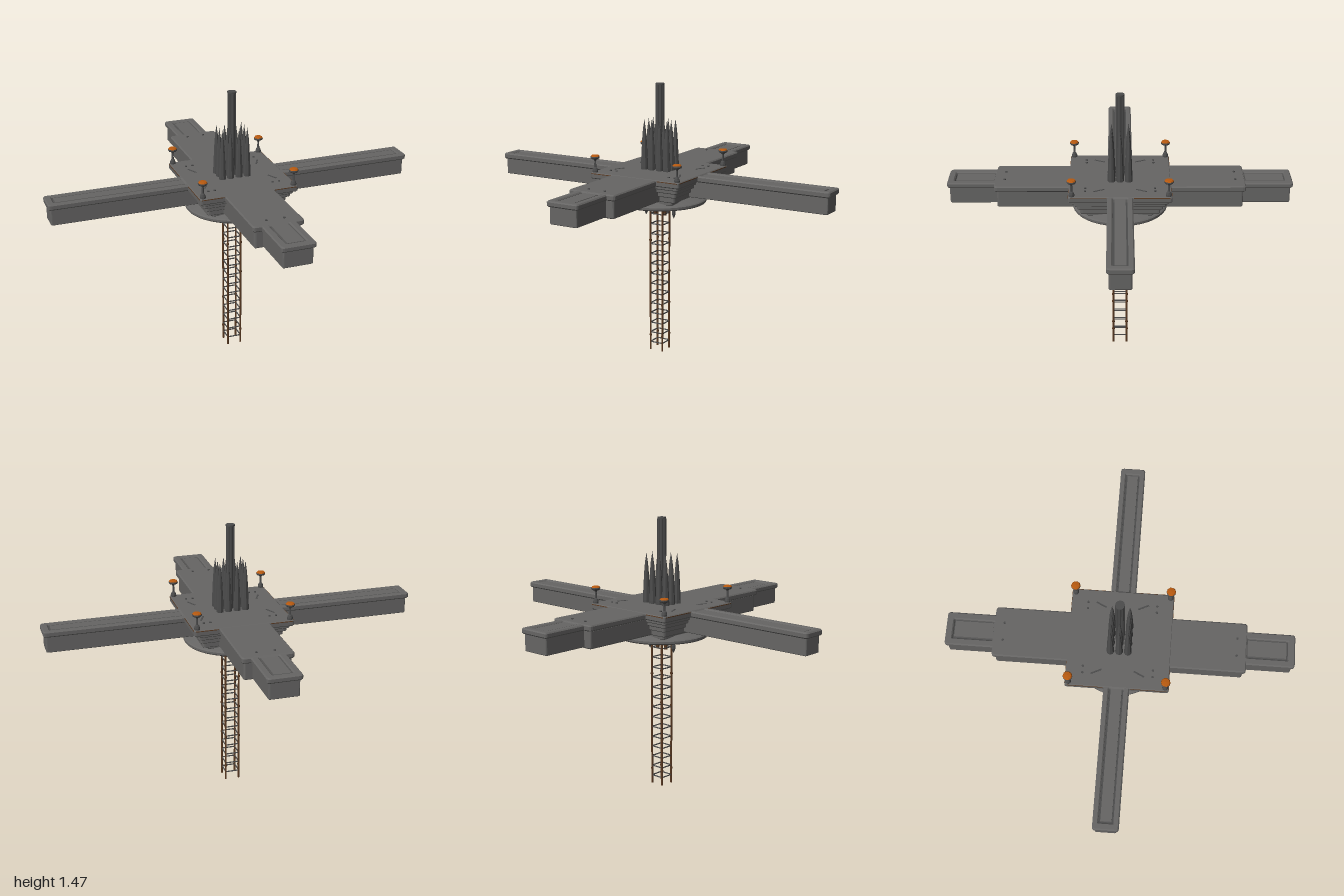
import * as THREE from 'three';

const mat = (name, color) => {
  const m = new THREE.MeshStandardMaterial({ color });
  m.name = name;
  return m;
};

export function createModel() {
  const root = new THREE.Group();
  const grey = mat('hullGrey', 0x666564);
  const dark = mat('darkMetal', 0x4c4c4c);
  const brown = mat('rustBrown', 0x5a3a22);
  const orange = mat('lampOrange', 0xb85a10);

  const add = (name, geo, m, x = 0, y = 0, z = 0, parent = root) => {
    const mesh = new THREE.Mesh(geo, m);
    mesh.name = name;
    mesh.position.set(x, y, z);
    parent.add(mesh);
    return mesh;
  };
  const box = (name, w, h, d, m, x, y, z, parent) =>
    add(name, new THREE.BoxGeometry(w, h, d), m, x, y, z, parent);
  const lathe = (pts, n) => {
    const g = new THREE.LatheGeometry(pts.map(p => new THREE.Vector2(...p)), n).toNonIndexed();
    g.computeVertexNormals();
    return g;
  };

  // Rounded rectangular slab spanning x0..x1, z0..z1, with an optional opening
  const rect = (target, x0, x1, z0, z1, r) => {
    target.moveTo(x0 + r, z0).lineTo(x1 - r, z0).quadraticCurveTo(x1, z0, x1, z0 + r)
      .lineTo(x1, z1 - r).quadraticCurveTo(x1, z1, x1 - r, z1)
      .lineTo(x0 + r, z1).quadraticCurveTo(x0, z1, x0, z1 - r)
      .lineTo(x0, z0 + r).quadraticCurveTo(x0, z0, x0 + r, z0);
    return target;
  };
  const slab = (name, b, y0, y1, r, parent = root, hole = null, bevel = 0.005) => {
    const s = rect(new THREE.Shape(), ...b, r);
    if (hole) s.holes.push(rect(new THREE.Path(), ...hole, 0.003));
    const g = new THREE.ExtrudeGeometry(s, {
      depth: y1 - y0 - 2 * bevel, bevelEnabled: true, bevelSize: bevel,
      bevelThickness: bevel, bevelOffset: -bevel, bevelSegments: 1, curveSegments: 3,
    });
    g.rotateX(-Math.PI / 2);
    return add(name, g, grey, 0, y0 + bevel, 0, parent);
  };

  // An arm along +x: body, overhanging cap with a groove, and inner panel
  const arm = (name, start, end, half, inset, top, turn) => {
    const g = new THREE.Group();
    g.name = name;
    g.rotation.y = turn;
    root.add(g);
    const h = half - inset;
    slab('armBody', [0.1, end - 0.012, -half + 0.012, half - 0.012], 0.895, 0.984, 0.008, g, null, 0.003);
    slab('armCap', [0.1, end, -half, half], 0.982, top, 0.016, g, [start, end - 0.037, -h, h], 0.006);
    const x1 = end - 0.045;
    box('armPanel', x1 - start, 0.026, 2 * h - 0.018, grey, (start + x1) / 2, top - 0.017, 0, g);
    box('grooveFloor', end - 0.03 - start, 0.008, 2 * h + 0.004, dark, (start + end - 0.03) / 2, 0.986, 0, g);
  };
  for (const t of [0, Math.PI]) arm('sideArm', 0.27, 1, 0.066, 0.029, 1.013, t);
  for (const t of [Math.PI / 2, -Math.PI / 2]) arm('longArm', 0.66, 0.905, 0.09, 0.038, 1.011, t);

  // Wide deck running front to back
  slab('deckBody', [-0.122, 0.122, -0.643, 0.643], 0.89, 0.984, 0.012);
  slab('deckCap', [-0.135, 0.135, -0.656, 0.656], 0.982, 1.013, 0.018, root, null, 0.006);

  // Square platform with stepped underside
  slab('platform', [-0.267, 0.267, -0.267, 0.267], 0.982, 1.015, 0.012);
  const steps = [[0.25, 0.965, 0.985], [0.238, 0.945, 0.968], [0.222, 0.92, 0.948], [0.208, 0.89, 0.924], [0.175, 0.865, 0.894]];
  for (const [h, y0, y1] of steps) slab('platformStep', [-h, h, -h, h], y0, y1, 0.015, root, null, 0.004);

  // Thin trim along the platform edges, broken where arms leave
  for (const s of [-1, 1]) for (const q of [-1, 1]) {
    box('edgeTrim', 0.12, 0.004, 0.004, brown, q * 0.198, 1.009, s * 0.2655);
    box('edgeTrim', 0.004, 0.004, 0.185, brown, s * 0.2655, 1.009, q * 0.163);
  }

  // Round saucer under the platform
  add('saucer', lathe([[0, 0.818], [0.1, 0.818], [0.14, 0.822], [0.246, 0.84], [0.251, 0.846],
    [0.251, 0.857], [0.245, 0.862], [0.19, 0.876], [0, 0.876]], 40), grey);

  // Central mast: ribbed column
  add('mast', new THREE.CylinderGeometry(0.02, 0.02, 0.46, 12), dark, 0, 1.24, 0);
  for (let i = 0; i < 8; i++) {
    const a = i * Math.PI / 4;
    add('mastRib', new THREE.CylinderGeometry(0.006, 0.006, 0.455, 6), dark, Math.cos(a) * 0.018, 1.237, Math.sin(a) * 0.018);
  }
  add('mastTop', new THREE.CylinderGeometry(0.024, 0.024, 0.008, 12), dark, 0, 1.469, 0);

  // Spire cluster in a grid of four by three
  const spire = lathe([[0.02, 1.01], [0.02, 1.03], [0.017, 1.09], [0.013, 1.17], [0.008, 1.23], [0.003, 1.262], [0, 1.285]], 8);
  for (const x of [-0.069, -0.024, 0.024, 0.069]) for (const z of [-0.045, 0, 0.045])
    add('spire', spire, dark, x, 0, z);

  // Corner lamps
  const post = lathe([[0.015, 1.013], [0.015, 1.024], [0.011, 1.036], [0.006, 1.042], [0.005, 1.075],
    [0.008, 1.082], [0.022, 1.088], [0.025, 1.094], [0.024, 1.1]], 10);
  const glow = lathe([[0.024, 1.1], [0.019, 1.106], [0, 1.108]], 10);
  for (const x of [-0.248, 0.248]) for (const z of [-0.248, 0.248]) {
    add('lampPost', post, dark, x, 0, z);
    add('lampTop', glow, orange, x, 0, z);
  }

  // Deck studs and angled vents
  const stud = new THREE.CylinderGeometry(0.006, 0.006, 0.008, 8);
  for (const x of [-1, 1]) for (const z of [-1, 1]) {
    add('deckStud', stud, dark, x * 0.047, 1.014, z * 0.605);
    add('deckStud', stud, dark, x * 0.16, 1.016, z * 0.18);
    add('deckStud', stud, dark, x * 0.195, 1.016, z * 0.18);
    box('deckVent', 0.008, 0.004, 0.06, dark, x * 0.185, 1.015, z * 0.11).rotation.y = x * z * 0.45;
  }

  // Lattice tower: four legs with rungs and brackets
  const L = 0.037;
  for (const x of [-L, L]) for (const z of [-L, L]) {
    add('towerLeg', new THREE.CylinderGeometry(0.0055, 0.0055, 0.825, 8), brown, x, 0.4125, z);
    for (let i = 0; i < 5; i++)
      add('legCollar', new THREE.CylinderGeometry(0.0075, 0.0075, 0.008, 8), brown, x, 0.085 + i * 0.18, z);
  }
  for (let i = 0; i < 14; i++) {
    const y = 0.045 + i * 0.056;
    for (const s of [-L, L]) {
      box('towerRung', 2 * L, 0.005, 0.005, dark, 0, y, s);
      box('towerRung', 0.005, 0.005, 2 * L, dark, s, y, 0);
    }
  }

  // Hanging pins below the saucer
  const pin = lathe([[0, 0.753], [0.005, 0.762], [0.01, 0.775], [0.01, 0.795], [0.006, 0.802], [0.006, 0.825]], 8);
  for (const x of [-0.086, 0.086]) add('hangingPin', pin, dark, x, 0, 0);
  for (const x of [-0.03, 0.03])
    add('hangingPin', new THREE.CylinderGeometry(0.009, 0.009, 0.06, 8), brown, x, 0.793, 0);

  return root;
}
